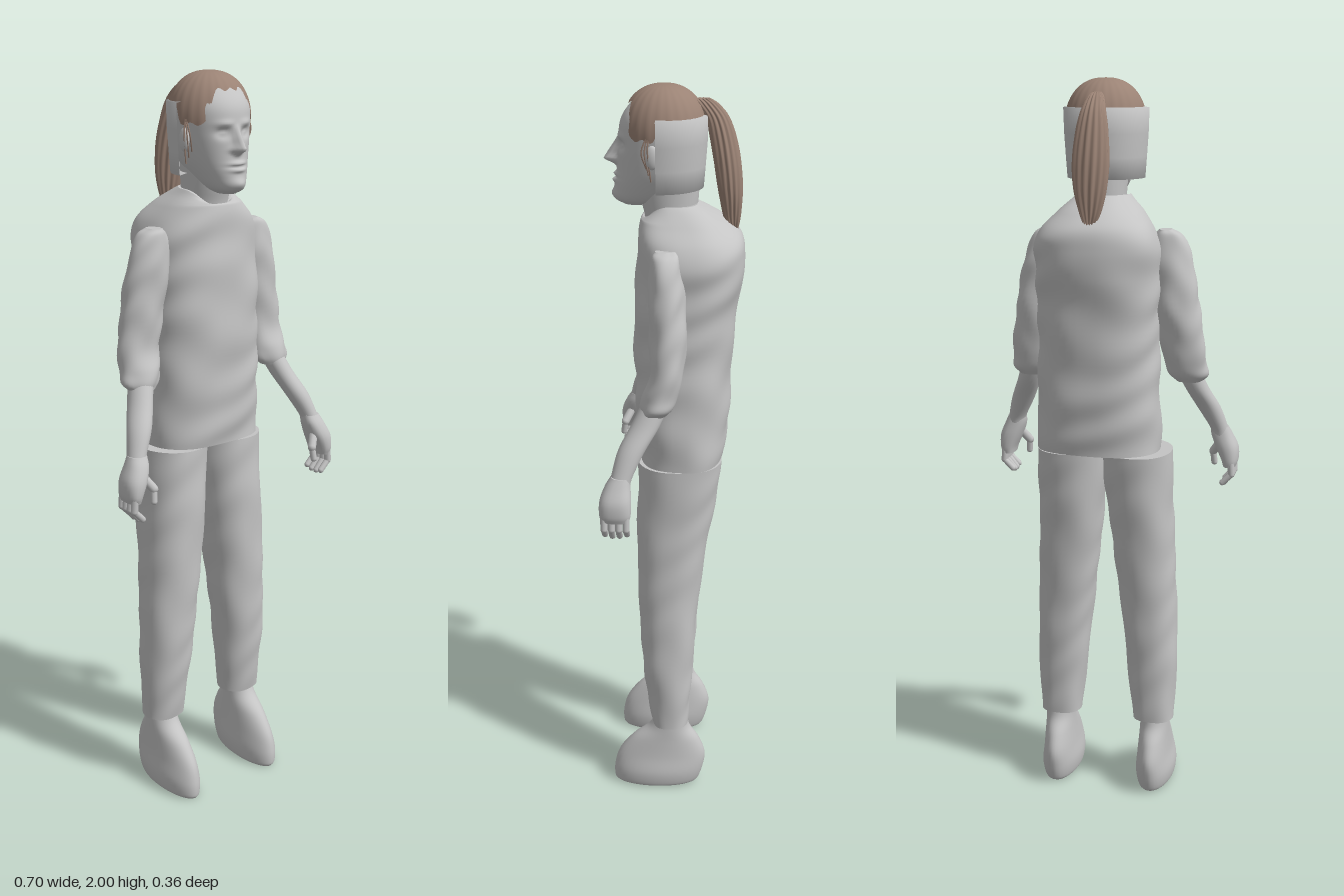
import * as THREE from 'three';
import { mergeGeometries } from 'three/addons/utils/BufferGeometryUtils.js';

const TAU = Math.PI * 2;
const gauss = (d, w) => Math.exp(-(d * d) / (w * w));

// Closed-ring surface: fn(t, a) gives points, t runs bottom to top, a around y
function ringSurface(fn, rows, cols, capped = true) {
  const pos = [], idx = [];
  for (let i = 0; i <= rows; i++)
    for (let j = 0; j < cols; j++) pos.push(...fn(i / rows, (j / cols) * TAU));
  for (let i = 0; i < rows; i++)
    for (let j = 0; j < cols; j++) {
      const k = (j + 1) % cols, a = i * cols + j, b = i * cols + k;
      idx.push(a, a + cols, b, b, a + cols, b + cols);
    }
  if (capped) {
    for (const row of [0, rows]) {
      const start = pos.length / 3, c = [0, 0, 0];
      for (let j = 0; j < cols; j++) {
        const p = pos.slice((row * cols + j) * 3, (row * cols + j) * 3 + 3);
        pos.push(...p);
        p.forEach((v, n) => { c[n] += v / cols; });
      }
      pos.push(...c);
      for (let j = 0; j < cols; j++) {
        const k = (j + 1) % cols;
        if (row === 0) idx.push(start + cols, start + j, start + k);
        else idx.push(start + cols, start + k, start + j);
      }
    }
  }
  const g = new THREE.BufferGeometry();
  g.setAttribute('position', new THREE.Float32BufferAttribute(pos, 3));
  g.setIndex(idx);
  g.computeVertexNormals();
  return g;
}

// Loft through sections [y, xMin, xMax, zMin, zMax]; power > 2 squares the section
function loft(sections, { rows = 40, cols = 36, power = 2, warp } = {}) {
  const curve = new THREE.CubicInterpolant(sections.map((_, i) => i), sections.flat(), 5, new Array(5));
  const round = (v) => Math.sign(v) * Math.abs(v) ** (2 / power);
  return ringSurface((t, a) => {
    const [y, x0, x1, z0, z1] = curve.evaluate(t * (sections.length - 1));
    const p = [
      (x0 + x1) / 2 + ((x1 - x0) / 2) * round(Math.cos(a)), y,
      (z0 + z1) / 2 + ((z1 - z0) / 2) * round(Math.sin(a)),
    ];
    return warp ? warp(p, a, t) : p;
  }, rows, cols);
}

// Sections are written for the model's right side; side = 1 mirrors them
const mirror = (s, side) => (side < 0 ? s : s.map(([y, a, b, c, d]) => [y, -b, -a, c, d]));

// Soft cloth folds pushed outwards
const folds = (amount, freq) => (p, a) => {
  const [x, y, z] = p;
  const d = amount * (Math.sin(y * freq + 2 * Math.sin(a * 2 + y * 9)) + 0.6 * Math.sin(y * freq * 0.6 + a * 5));
  return [x + d * Math.cos(a), y, z + d * Math.sin(a)];
};

// Rounded rod between two points
function rod(from, to, r) {
  const a = new THREE.Vector3(...from), b = new THREE.Vector3(...to), d = b.clone().sub(a);
  const g = new THREE.CapsuleGeometry(r, d.length(), 4, 10);
  g.applyQuaternion(new THREE.Quaternion().setFromUnitVectors(new THREE.Vector3(0, 1, 0), d.normalize()));
  const m = a.add(b).multiplyScalar(0.5);
  return g.translate(m.x, m.y, m.z);
}

export function createModel() {
  const grey = new THREE.MeshStandardMaterial({ color: 0xc4c4c4, side: THREE.DoubleSide });
  grey.name = 'plainGrey';
  const brown = new THREE.MeshStandardMaterial({ color: 0x9b8375, side: THREE.DoubleSide });
  brown.name = 'hairBrown';
  const model = new THREE.Group();
  const add = (name, geometry, material = grey) => {
    const mesh = new THREE.Mesh(geometry, material);
    mesh.name = name;
    model.add(mesh);
    return mesh;
  };

  // Shirt: neckline dips at the front
  const shirtFolds = folds(0.0025, 48);
  add('shirt', loft([
    [1.02, -0.153, 0.185, -0.135, 0.095], [1.12, -0.152, 0.184, -0.145, 0.102],
    [1.25, -0.148, 0.18, -0.15, 0.106], [1.4, -0.147, 0.178, -0.16, 0.108],
    [1.5, -0.15, 0.18, -0.175, 0.102], [1.57, -0.15, 0.18, -0.184, 0.098],
    [1.62, -0.136, 0.164, -0.172, 0.094], [1.66, -0.105, 0.125, -0.135, 0.09],
    [1.69, -0.072, 0.092, -0.09, 0.084], [1.705, -0.058, 0.076, -0.06, 0.08],
  ], {
    rows: 80, cols: 60, power: 2.4,
    warp: (p, a, t) => {
      const q = shirtFolds(p, a);
      q[1] -= 0.045 * Math.max(0, (t - 0.8) / 0.2) * Math.max(0, Math.sin(a)) ** 2;
      return q;
    },
  }));

  // Neck
  add('neck', loft([
    [1.62, -0.05, 0.07, -0.055, 0.075], [1.67, -0.048, 0.068, -0.055, 0.078],
    [1.72, -0.05, 0.07, -0.06, 0.09], [1.8, -0.055, 0.075, -0.065, 0.1],
  ], { rows: 12 }));

  // Head: facial features pushed along z on the front half
  const cx = 0.01;
  add('head', loft([
    [1.7, -0.012, 0.032, 0.07, 0.13], [1.715, -0.032, 0.052, 0.02, 0.154],
    [1.745, -0.05, 0.07, -0.035, 0.155], [1.79, -0.068, 0.088, -0.07, 0.148],
    [1.85, -0.08, 0.1, -0.08, 0.144], [1.91, -0.084, 0.104, -0.075, 0.138],
    [1.95, -0.072, 0.092, -0.06, 0.114], [1.975, -0.045, 0.065, -0.03, 0.085],
    [1.985, -0.01, 0.03, 0.01, 0.05],
  ], {
    rows: 110, cols: 96, power: 2.15,
    warp: ([x, y, z], a) => {
      if (Math.sin(a) <= 0.2) return [x, y, z];
      const dx = Math.abs(x - cx);
      const noseWidth = 0.009 + 0.006 * gauss(y - 1.812, 0.012);
      const ramp = y > 1.815 ? Math.max(0, 1 - (y - 1.815) / 0.06) : gauss(y - 1.815, 0.012);
      let d = 0.036 * ramp * gauss(dx, noseWidth);                       // nose
      d -= 0.013 * gauss(dx - 0.034, 0.017) * gauss(y - 1.853, 0.012);   // eye sockets
      d += 0.007 * gauss(dx - 0.034, 0.01) * gauss(y - 1.852, 0.006);    // eyes
      d += 0.005 * gauss(dx - 0.032, 0.022) * gauss(y - 1.876, 0.008);   // brows
      d += 0.008 * gauss(dx, 0.022) * (gauss(y - 1.778, 0.005) + gauss(y - 1.762, 0.006)); // lips
      d -= 0.004 * gauss(dx, 0.024) * gauss(y - 1.77, 0.003);            // mouth line
      d += 0.006 * gauss(dx, 0.022) * gauss(y - 1.728, 0.012);           // chin
      return [x, y, z + d];
    },
  }));

  // Shell around the back of the head
  const shell = new THREE.LatheGeometry(
    [[0.08, 1.75], [0.104, 1.745], [0.108, 1.8], [0.112, 1.86], [0.114, 1.925], [0.08, 1.93]]
      .map(([r, y]) => new THREE.Vector2(r, y)), 40, Math.PI / 2, Math.PI);
  add('backOfHead', shell.scale(1, 1, 1.11).translate(cx, 0, 0.043));

  // Hair cap: hairline is high at the forehead, low at the temples
  const smooth = THREE.MathUtils.smoothstep;
  add('hairCap', ringSurface((t, a) => {
    const s = Math.sin(a);
    const edge = 1.922 - 0.047 * smooth(s, -0.05, 0.2) + 0.082 * smooth(s, 0.72, 0.9)
      + 0.004 * Math.sin(a * 17);
    const phi = (1 - t) * Math.acos((edge - 1.885) / 0.115);
    const r = Math.sin(phi) ** 0.85 * (1 + 0.008 * Math.sin(a * 24));
    return [cx + 0.107 * r * Math.cos(a), 1.885 + 0.115 * Math.cos(phi), 0.028 + 0.108 * r * s];
  }, 24, 96, false), brown);

  // Ponytail with strand ridges
  add('ponytail', loft([
    [1.63, 0.0, 0.02, -0.158, -0.142], [1.67, -0.018, 0.036, -0.166, -0.125],
    [1.73, -0.032, 0.052, -0.17, -0.112], [1.8, -0.036, 0.056, -0.166, -0.1],
    [1.87, -0.03, 0.05, -0.152, -0.088], [1.92, -0.02, 0.04, -0.133, -0.076],
    [1.952, -0.01, 0.03, -0.106, -0.055], [1.965, 0.0, 0.02, -0.085, -0.045],
  ], {
    cols: 72,
    warp: ([x, y, z], a) => {
      const d = 0.0025 * Math.sin(a * 14 + y * 12);
      return [x + d * Math.cos(a), y, z + d * Math.sin(a)];
    },
  }), brown);

  for (const side of [-1, 1]) {
    const name = side < 0 ? 'right' : 'left';
    const part = (label, sections, options) => add(name + label, loft(mirror(sections, side), options));

    // Ear and loose strands at the temple
    const ear = new THREE.SphereGeometry(1, 16, 12).scale(0.01, 0.03, 0.017);
    add(name + 'Ear', ear.translate(cx + side * 0.096, 1.835, 0.052));
    const strands = [0, 1, 2].map((i) => new THREE.TubeGeometry(new THREE.CatmullRomCurve3([
      [0.098, 1.895, 0.06], [0.104 - i * 0.003, 1.85, 0.062 + i * 0.008], [0.093 - i * 0.005, 1.775 + i * 0.015, 0.055 + i * 0.006],
    ].map(([x, y, z]) => new THREE.Vector3(cx + side * x, y, z))), 10, 0.002, 5));
    add(name + 'HairStrands', mergeGeometries(strands), brown);

    // Sleeve with a gathered cuff
    part('Sleeve', [
      [1.205, -0.255, -0.188, 0.005, 0.078], [1.225, -0.274, -0.166, -0.01, 0.078],
      [1.255, -0.272, -0.156, -0.018, 0.07], [1.31, -0.266, -0.148, -0.032, 0.054],
      [1.4, -0.254, -0.132, -0.04, 0.055], [1.5, -0.238, -0.115, -0.035, 0.058],
      [1.56, -0.222, -0.112, -0.028, 0.057], [1.6, -0.202, -0.126, -0.018, 0.05],
      [1.615, -0.175, -0.138, -0.008, 0.04],
    ], { rows: 50, warp: folds(0.0018, 60) });

    // Forearm
    part('Forearm', [
      [1.03, -0.325, -0.276, 0.1, 0.155], [1.06, -0.318, -0.268, 0.092, 0.148],
      [1.12, -0.3, -0.236, 0.062, 0.132], [1.18, -0.272, -0.208, 0.025, 0.1],
      [1.24, -0.25, -0.185, 0.0, 0.07],
    ], { rows: 20, cols: 24 });

    // Hand: palm, four fingers and a thumb
    part('Palm', [
      [0.945, -0.342, -0.306, 0.1, 0.172], [0.965, -0.348, -0.3, 0.096, 0.178],
      [1.0, -0.347, -0.284, 0.095, 0.177], [1.035, -0.332, -0.272, 0.098, 0.164],
      [1.06, -0.32, -0.27, 0.1, 0.148],
    ], { rows: 16, cols: 24, power: 2.4 });
    const digits = [0, 1, 2, 3].flatMap((i) => {
      const z = 0.108 + i * 0.019, tip = 0.9 - 0.006 * Math.sin(i);
      const knuckle = [side * 0.333, 0.925, z];
      return [rod([side * 0.33, 0.965, z], knuckle, 0.0095), rod(knuckle, [side * 0.308, tip, z], 0.0085)];
    });
    digits.push(rod([side * 0.295, 1.01, 0.145], [side * 0.272, 0.975, 0.165], 0.012));
    digits.push(rod([side * 0.272, 0.975, 0.165], [side * 0.275, 0.942, 0.17], 0.009));
    add(name + 'Fingers', mergeGeometries(digits));

    // Trouser leg
    part('TrouserLeg', [
      [0.21, -0.196, -0.078, -0.045, 0.058], [0.3, -0.2, -0.068, -0.05, 0.072],
      [0.42, -0.203, -0.056, -0.058, 0.086], [0.6, -0.198, -0.036, -0.07, 0.095],
      [0.8, -0.19, -0.014, -0.098, 0.1], [0.92, -0.187, -0.002, -0.118, 0.097],
      [1.02, -0.187, 0.004, -0.13, 0.094],
    ], { rows: 50, power: 2.2, warp: folds(0.0014, 40) });

    // Shoe
    part('Shoe', [
      [0, -0.182, -0.098, -0.06, 0.165], [0.012, -0.192, -0.09, -0.075, 0.171],
      [0.05, -0.196, -0.086, -0.088, 0.17], [0.1, -0.188, -0.092, -0.094, 0.156],
      [0.15, -0.184, -0.097, -0.076, 0.118], [0.19, -0.182, -0.1, -0.05, 0.07],
      [0.225, -0.18, -0.1, -0.042, 0.05],
    ], { rows: 36 });
  }
  return model;
}
